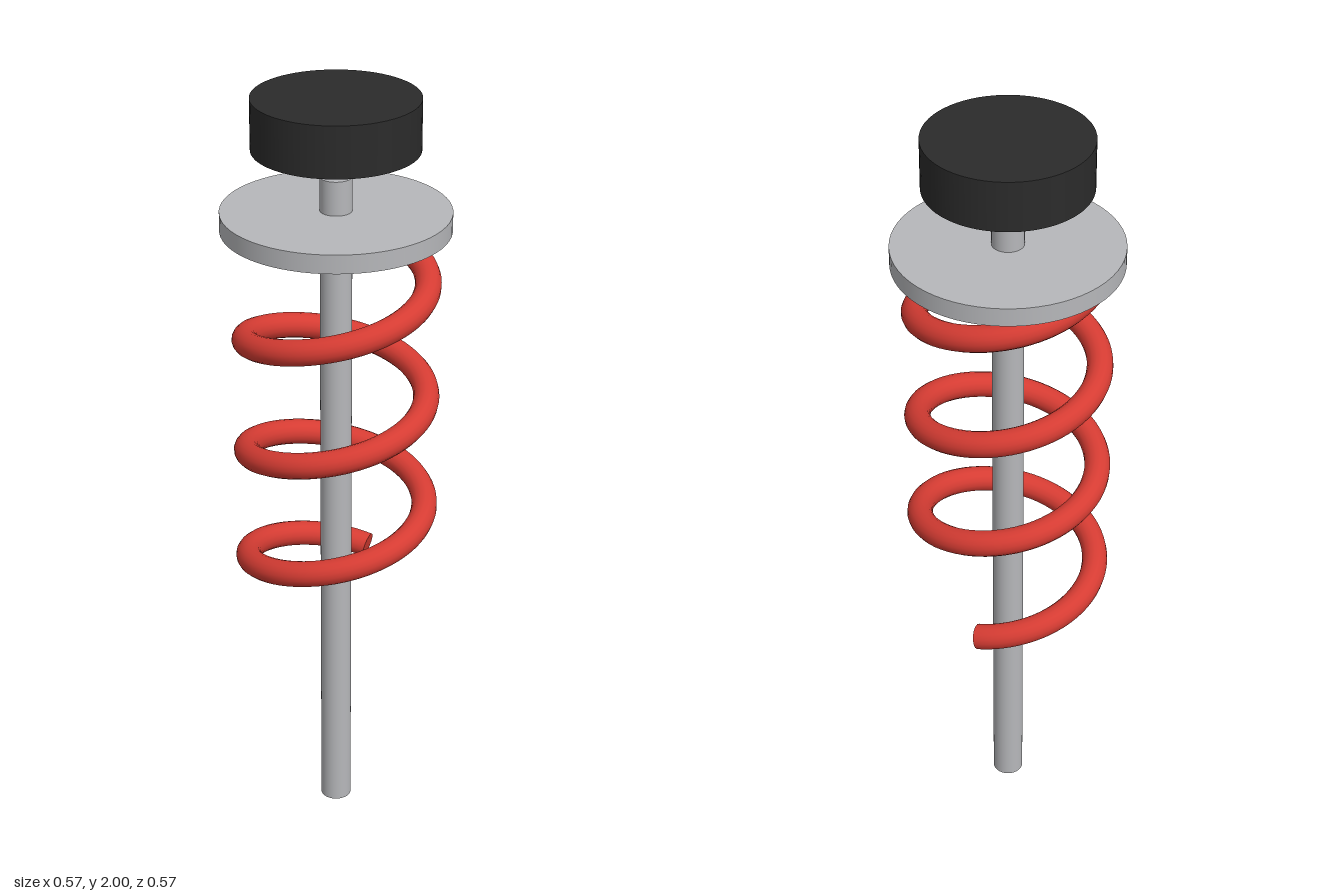
import * as THREE from 'three';

const steel = new THREE.MeshStandardMaterial({ color: 0xb6b7ba });
steel.name = 'steel grey';
const red = new THREE.MeshStandardMaterial({ color: 0xd63c33 });
red.name = 'spring red';
const black = new THREE.MeshStandardMaterial({ color: 0x2b2b2b });
black.name = 'rubber black';

// Helix rising from the back, through the right, to the front
class Helix extends THREE.Curve {
  constructor(radius, y0, y1, turns) {
    super();
    Object.assign(this, { radius, y0, y1, turns });
  }
  getPoint(t, target = new THREE.Vector3()) {
    const a = t * this.turns * Math.PI * 2;
    return target.set(
      -this.radius * Math.sin(a),
      this.y0 + (this.y1 - this.y0) * t,
      -this.radius * Math.cos(a)
    );
  }
}

// Upright cylinder between two heights
function disc(name, radius, y0, y1, material) {
  const mesh = new THREE.Mesh(new THREE.CylinderGeometry(radius, radius, y1 - y0, 64), material);
  mesh.position.y = (y0 + y1) / 2;
  mesh.name = name;
  return mesh;
}

export function createModel() {
  const model = new THREE.Group();
  model.name = 'springPlunger';

  model.add(
    disc('rod', 0.04, 0, 1.8, steel),
    disc('springPlate', 0.285, 1.665, 1.713, steel),
    disc('knob', 0.207, 1.87, 2, black)
  );

  // Coil spring with closed ends
  const spring = new THREE.Group();
  spring.name = 'spring';
  const path = new Helix(0.228, 0.66, 1.66, 3.25);
  const wire = 0.033;
  const coil = new THREE.Mesh(new THREE.TubeGeometry(path, 240, wire, 16), red);
  coil.name = 'coil';
  spring.add(coil);
  for (const [t, sign] of [[0, -1], [1, 1]]) {
    const cap = new THREE.Mesh(new THREE.CircleGeometry(wire, 16), red);
    cap.name = t ? 'upperWireEnd' : 'lowerWireEnd';
    cap.position.copy(path.getPoint(t));
    cap.quaternion.setFromUnitVectors(
      new THREE.Vector3(0, 0, 1),
      path.getTangent(t).multiplyScalar(sign)
    );
    spring.add(cap);
  }
  model.add(spring);

  return model;
}
